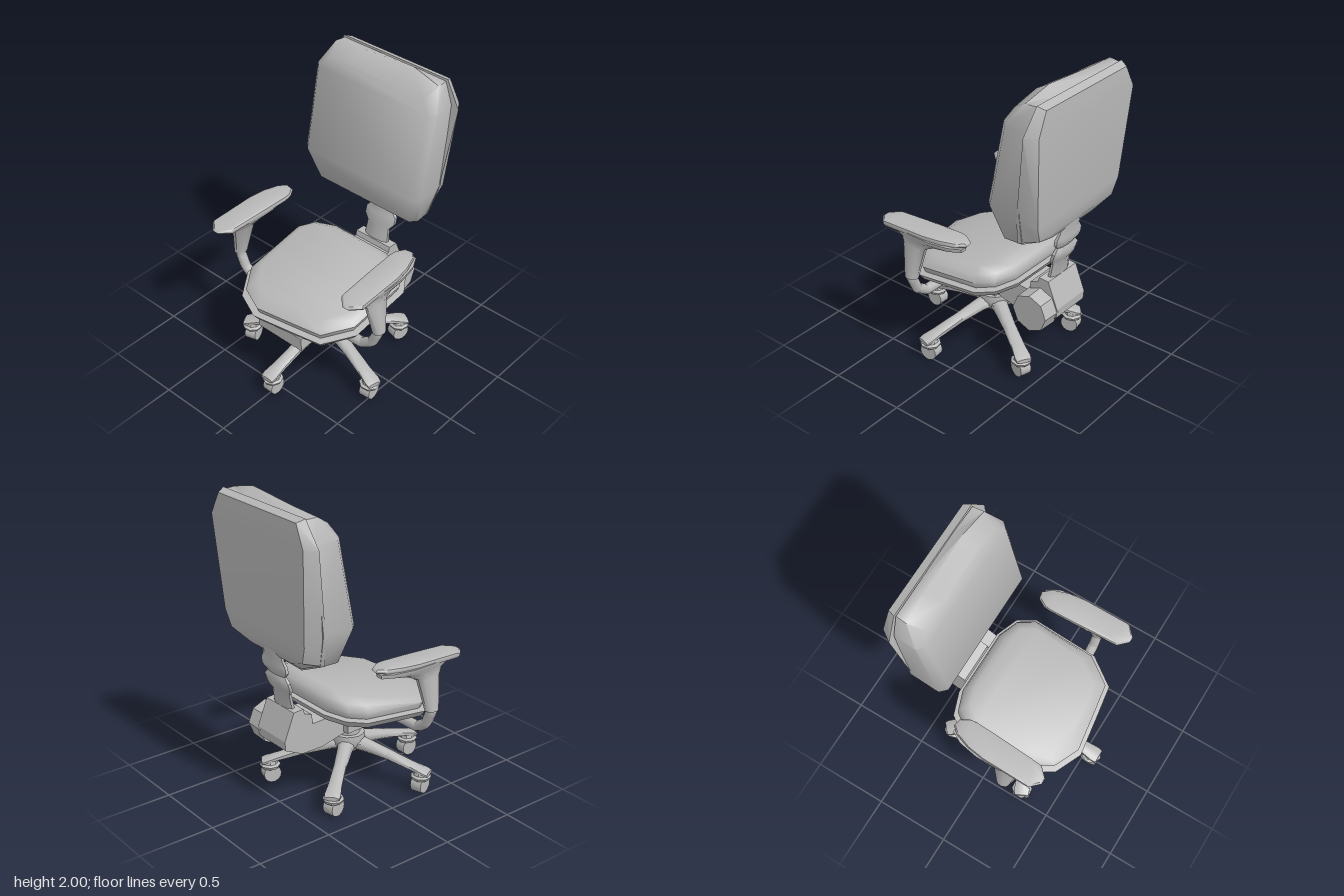
import * as THREE from 'three';
import { toCreasedNormals } from 'three/addons/utils/BufferGeometryUtils.js';

const grey = new THREE.MeshStandardMaterial({ color: 0xb8b8b8 });
grey.name = 'grey';

// Skin a list of equal-length rings and close both ends with strips.
function loft(rings, crease = 0.9) {
  const n = rings[0].length, index = [];
  const points = rings.flat();
  for (let r = 0; r < rings.length - 1; r++) {
    for (let i = 0; i < n; i++) {
      const a = r * n + i, b = r * n + (i + 1) % n;
      index.push(a, b, b + n, a, b + n, a + n);
    }
  }
  const cap = (o, flip) => {
    for (let k = 0; k < n / 2 - 1; k++) {
      const l0 = o + (n - k) % n, l1 = o + n - k - 1, r0 = o + 1 + k, r1 = o + 2 + k;
      if (flip) index.push(l0, r1, r0, l0, l1, r1);
      else index.push(l0, r0, r1, l0, r1, l1);
    }
  };
  cap(0, true);
  cap((rings.length - 1) * n, false);
  // Turn the faces outward if the rings run the other way.
  let volume = 0;
  const v = points.map(p => new THREE.Vector3(...p));
  for (let i = 0; i < index.length; i += 3) {
    volume += v[index[i]].dot(v[index[i + 1]].clone().cross(v[index[i + 2]]));
  }
  if (volume < 0) index.reverse();
  const g = new THREE.BufferGeometry();
  g.setAttribute('position', new THREE.Float32BufferAttribute(points.flat(), 3));
  g.setIndex(index);
  return toCreasedNormals(g, crease);
}

// Horizontal oval ring.
function oval(cx, y, cz, hx, hz, n = 12) {
  return Array.from({ length: n }, (_, i) => {
    const a = (i + 0.5) / n * Math.PI * 2;
    return [cx + hx * Math.cos(a), y, cz + hz * Math.sin(a)];
  });
}

// Side profile of [z, y] points, extruded across x.
function sideProfile(pts, width) {
  const shape = new THREE.Shape(pts.map(p => new THREE.Vector2(...p)));
  const g = new THREE.ExtrudeGeometry(shape, { depth: width, bevelEnabled: false });
  return g.translate(0, 0, -width / 2).rotateY(-Math.PI / 2);
}

function add(parent, name, geometry) {
  const m = new THREE.Mesh(geometry, grey);
  m.name = name;
  parent.add(m);
  return m;
}

function backrest(g) {
  // x, y, z of the widest line of the cushion
  const edge = [[-0.2, 1.97, -0.5], [0.2, 2, -0.5], [0.4, 1.95, -0.49], [0.46, 1.82, -0.4],
    [0.46, 1.27, -0.29], [0.4, 1.05, -0.35], [0.21, 0.975, -0.42], [-0.21, 0.965, -0.42],
    [-0.4, 1.05, -0.35], [-0.465, 1.27, -0.29], [-0.465, 1.82, -0.4], [-0.4, 1.955, -0.49]];
  const rear = edge.map(([x, y]) => [x * 0.98, Math.min(y, 1.95), -0.465 - (y - 0.97) * 0.1]);
  const front = edge.map(([x, y, z]) => [x * 0.91, y > 1.9 ? y - 0.06 : y < 1 ? y + 0.015 : y, z + (y > 1.9 ? 0.1 : 0.042)]);
  add(g, 'backCushion', loft([rear, edge, front], 1.0));

  // Half outlines of the shell, mirrored to full rings
  const mirror = half => [...half, ...half.slice().reverse().map(([x, y, z]) => [-x, y, z])];
  const ring = half => { const r = mirror(half); return [r[r.length - 1], ...r.slice(0, -1)]; };
  const rim = ring([[0.2, 1.96, -0.57], [0.4, 1.96, -0.57], [0.5, 1.8, -0.555],
    [0.45, 1.25, -0.475], [0.4, 1.05, -0.445], [0.2, 0.97, -0.46]]);
  const back = ring([[0.2, 1.94, -0.62], [0.38, 1.94, -0.62], [0.45, 1.8, -0.627],
    [0.4, 1.2, -0.59], [0.36, 1.09, -0.575], [0.2, 1.03, -0.54]]);
  add(g, 'backShell', loft([rim, back], 0.6));
}

function seat(g) {
  const outline = [[-0.22, -0.3], [0.22, -0.3], [0.36, -0.25], [0.43, -0.15], [0.43, 0.27], [0.31, 0.445],
    [0.12, 0.475], [-0.15, 0.515], [-0.32, 0.44], [-0.43, 0.28], [-0.43, -0.15], [-0.36, -0.25]];
  const base = z => 0.615 - 0.126 * z;
  const ring = (s, lift) => outline.map(([x, z]) => {
    const sz = 0.1 + (z - 0.1) * s;
    return [x * s, base(sz) + lift(sz), sz];
  });
  add(g, 'seatCushion', loft([ring(0.97, () => -0.01), ring(1.01, () => 0.035),
    ring(0.96, z => 0.075 - 0.05 * z), ring(0.84, z => 0.108 - 0.07 * z)], 1.0));
  add(g, 'seatShell', loft([ring(0.9, () => -0.075), ring(1.0, () => -0.055), ring(1.07, () => -0.012),
    ring(0.98, () => -0.005)], 0.5));
}

function mechanism(g) {
  add(g, 'seatBar', sideProfile([[0.48, 0.5], [0.48, 0.405], [0.42, 0.41], [-0.02, 0.425],
    [-0.1, 0.42], [-0.1, 0.56], [0.1, 0.53]], 0.365));
  add(g, 'tiltHousing', sideProfile([[-0.05, 0.56], [-0.34, 0.55], [-0.345, 0.615], [-0.4, 0.635],
    [-0.41, 0.67], [-0.48, 0.665], [-0.55, 0.49], [-0.545, 0.43], [-0.42, 0.37], [-0.265, 0.37], [-0.05, 0.42]], 0.28));
  const knob = add(g, 'tiltKnob', toCreasedNormals(new THREE.CylinderGeometry(0.125, 0.13, 0.13, 8), 0.5));
  knob.rotation.z = -Math.PI / 2;
  knob.position.set(0.185, 0.47, -0.42);

  // Pleated stem: y, z, half width, half depth
  const pleats = [[0.62, -0.44, 0.1, 0.035], [0.76, -0.465, 0.09, 0.025], [0.8, -0.48, 0.125, 0.035],
    [0.85, -0.495, 0.125, 0.035], [0.885, -0.497, 0.09, 0.022], [0.92, -0.51, 0.128, 0.033],
    [0.96, -0.515, 0.128, 0.033], [1.0, -0.52, 0.1, 0.025], [1.13, -0.545, 0.1, 0.035]];
  add(g, 'backStem', loft(pleats.map(([y, z, hx, hz]) => oval(0, y, z, hx, hz, 10)), 0.7));
}

function arm(g, side) {
  const a = new THREE.Group();
  a.name = side > 0 ? 'leftArm' : 'rightArm';
  const s = ring => ring.map(([x, y, z]) => [x * side, y, z]);
  // Pad, toed in towards the rear
  const pad = [[0.47, -0.155], [0.52, -0.165], [0.56, -0.12], [0.595, -0.02], [0.612, 0.1], [0.615, 0.42],
    [0.555, 0.48], [0.515, 0.48], [0.455, 0.42], [0.437, 0.1], [0.432, -0.06], [0.437, -0.1]];
  const padRing = (k, y) => s(pad.map(([x, z]) => [0.525 + (x - 0.525) * k, y - 0.03 * Math.max(0, z), 0.16 + (z - 0.16) * k]));
  add(a, 'armPad', loft([padRing(0.95, 0.96), padRing(1, 0.975), padRing(0.96, 0.99), padRing(0.75, 0.998)], 0.8));
  // Flared post, leaning outward as it goes down
  add(a, 'armPost', loft([s(oval(0.585, 0.645, 0.225, 0.04, 0.047)), s(oval(0.55, 0.86, 0.22, 0.042, 0.09)),
    s(oval(0.535, 0.9, 0.19, 0.055, 0.15)), s(oval(0.53, 0.94, 0.13, 0.085, 0.285)),
    s(oval(0.53, 0.965, 0.13, 0.09, 0.29))], 0.8));
  const path = new THREE.CurvePath();
  const bends = [[0.585, 0.68], [0.582, 0.63], [0.54, 0.535], [0.46, 0.48], [0.15, 0.475]]
    .map(([x, y]) => new THREE.Vector3(x * side, y, 0.23));
  for (let i = 1; i < bends.length; i++) path.add(new THREE.LineCurve3(bends[i - 1], bends[i]));
  add(a, 'armTube', new THREE.TubeGeometry(path, 24, 0.034, 8));
  g.add(a);
}

function base(g) {
  const b = new THREE.Group();
  b.name = 'base';
  b.position.z = 0.05;
  const column = add(b, 'column', new THREE.CylinderGeometry(0.075, 0.075, 0.14, 16));
  column.position.y = 0.37;
  const hub = [[0, 0.2], [0.06, 0.2], [0.1, 0.25], [0.108, 0.285], [0.105, 0.325], [0, 0.325]];
  add(b, 'hub', toCreasedNormals(new THREE.LatheGeometry(hub.map(p => new THREE.Vector2(...p)), 16), 0.7));

  // Leg sections: distance, height, half width, half thickness
  const sections = [[0.03, 0.262, 0.065, 0.05], [0.12, 0.25, 0.05, 0.045], [0.28, 0.213, 0.042, 0.035],
    [0.45, 0.168, 0.046, 0.026], [0.53, 0.147, 0.055, 0.02], [0.56, 0.138, 0.05, 0.014]];
  const leg = loft(sections.map(([d, y, w, h]) => oval(0, 0, 0, w, h, 8).map(([x, , z]) => [x, y + z, d])), 0.9);
  const hood = new THREE.LatheGeometry([[0, 0.155], [0.042, 0.15], [0.05, 0.125], [0.068, 0.115], [0.058, 0.095], [0, 0.09]]
    .reverse().map(p => new THREE.Vector2(...p)), 8);
  const wheel = toCreasedNormals(new THREE.CylinderGeometry(0.058, 0.058, 0.075, 14).rotateZ(Math.PI / 2), 0.7);
  [0, 75, 148, 221, 297].forEach((deg, i) => {
    const spoke = new THREE.Group();
    spoke.name = 'leg' + (i + 1);
    spoke.rotation.y = THREE.MathUtils.degToRad(deg);
    add(spoke, 'legArm', leg);
    add(spoke, 'casterHood', toCreasedNormals(hood, 0.6)).position.z = 0.505;
    const w = add(spoke, 'casterWheel', wheel);
    w.position.set(0, 0.058, 0.5);
    // Casters trail roughly front to back
    w.rotation.y = -spoke.rotation.y + [0, 0.1, -0.3, 0.2, 0.3][i];
    b.add(spoke);
  });
  g.add(b);
}

export function createModel() {
  const g = new THREE.Group();
  g.name = 'officeChair';
  backrest(g);
  seat(g);
  mechanism(g);
  arm(g, 1);
  arm(g, -1);
  base(g);
  return g;
}
